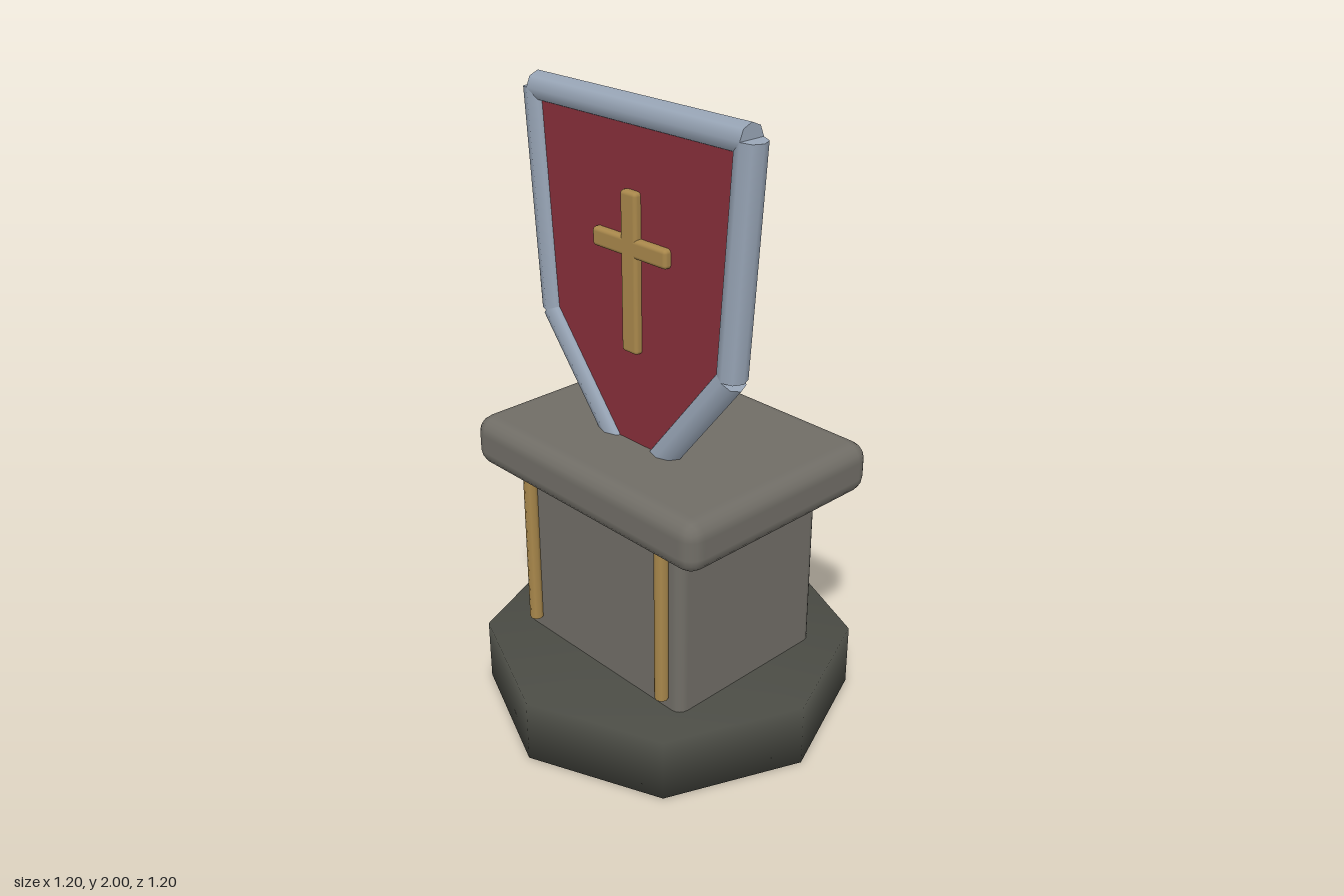
import * as THREE from 'three';
import { RoundedBoxGeometry } from 'three/addons/geometries/RoundedBoxGeometry.js';

function material(name, color) {
  const m = new THREE.MeshStandardMaterial({ color });
  m.name = name;
  return m;
}

export function createModel() {
  const group = new THREE.Group();
  const darkStone = material('darkStone', 0x4a4b44);
  const stone = material('stone', 0x706d66);
  const red = material('shieldRed', 0x862f3a);
  const steel = material('steel', 0x98a5b6);
  const gold = material('gold', 0xa8874b);

  const add = (name, geometry, mat, x = 0, y = 0, z = 0) => {
    const mesh = new THREE.Mesh(geometry, mat);
    mesh.name = name;
    mesh.position.set(x, y, z);
    group.add(mesh);
    return mesh;
  };
  const roundedBox = (name, w, h, d, r, mat, x, y, z) =>
    add(name, new RoundedBoxGeometry(w, h, d, 2, r), mat, x, y, z);

  // Octagonal foot with soft shading across its rim
  const profile = [[0, 0], [0.6, 0], [0.6, 0.21], [0, 0.21]].map(([r, y]) => new THREE.Vector2(r, y));
  add('base', new THREE.LatheGeometry(profile, 8), darkStone);

  // Pedestal block and top slab
  roundedBox('pedestal', 0.73, 0.66, 0.6, 0.035, stone, 0, 0.5, 0);
  roundedBox('slab', 0.99, 0.167, 0.77, 0.055, stone, 0, 0.862, 0);

  // Gilded rods on the front corners of the pedestal
  for (const s of [-1, 1]) {
    add('pedestalRod', new THREE.CylinderGeometry(0.022, 0.022, 0.55, 8), gold, 0.302 * s, 0.525, 0.315);
  }

  // Shield panel, its point sunk into the slab
  const shieldZ = 0.117;
  const corners = [[-0.43, 1.955], [-0.38, 1.275], [0, 0.8], [0.38, 1.275], [0.43, 1.955]]
    .map(([x, y]) => new THREE.Vector2(x, y));
  const panel = new THREE.ExtrudeGeometry(new THREE.Shape(corners), { depth: 0.04, bevelEnabled: false });
  add('shieldPanel', panel, red, 0, 0, shieldZ - 0.02);

  // Steel frame: one bar along each shield edge
  const up = new THREE.Vector3(0, 1, 0);
  corners.forEach((a, i) => {
    const b = corners[(i + 1) % corners.length];
    const dir = new THREE.Vector3(b.x - a.x, b.y - a.y, 0);
    const bar = add('frameBar', new THREE.CylinderGeometry(0.045, 0.045, dir.length(), 8), steel,
      (a.x + b.x) / 2, (a.y + b.y) / 2, shieldZ);
    bar.quaternion.setFromUnitVectors(up, dir.normalize());
  });

  // Gold cross on the shield front
  roundedBox('crossUpright', 0.066, 0.49, 0.04, 0.012, gold, 0, 1.49, 0.14);
  roundedBox('crossArm', 0.31, 0.058, 0.04, 0.012, gold, 0, 1.57, 0.14);

  return group;
}
